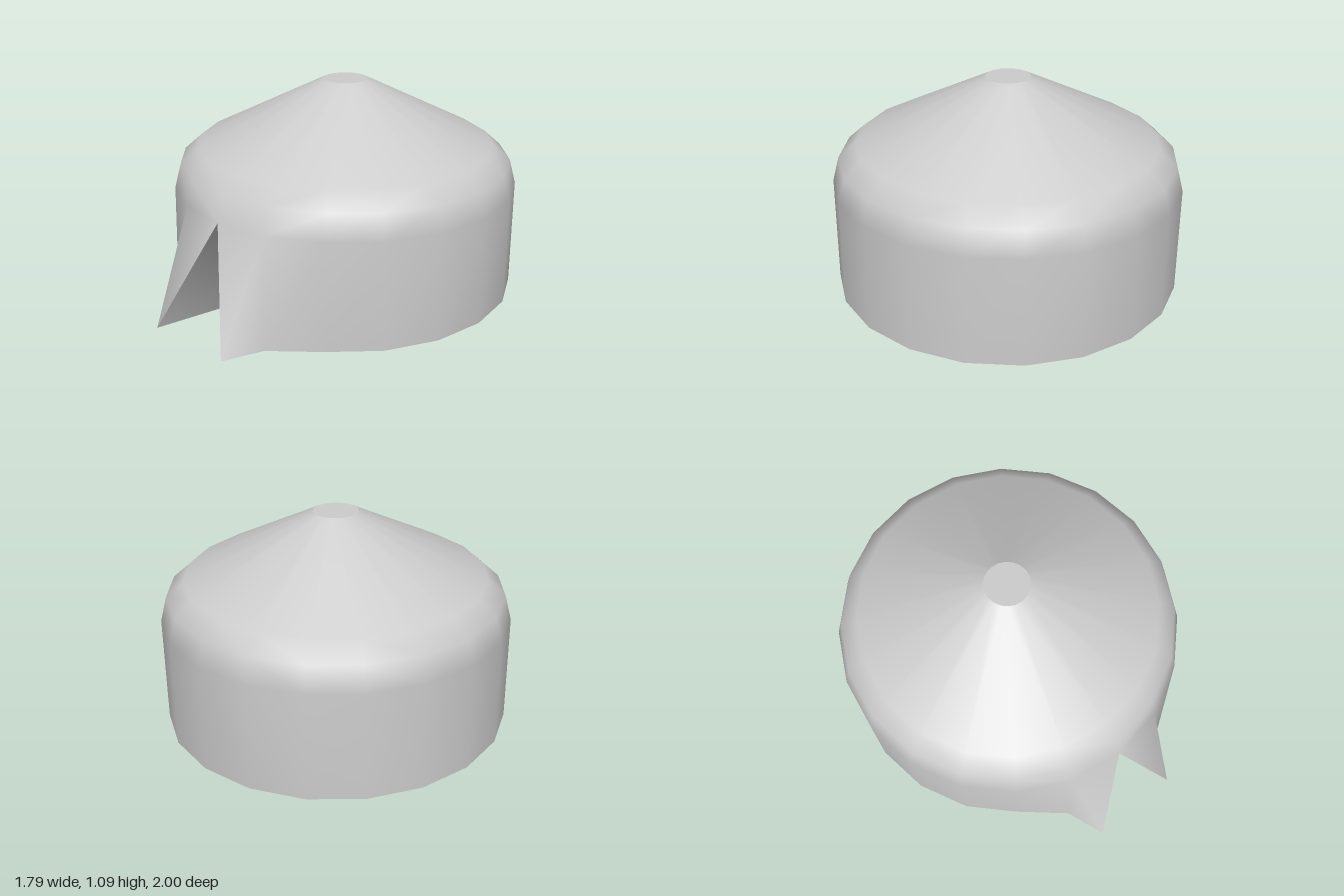
import * as THREE from 'three';
import { mergeVertices } from 'three/addons/utils/BufferGeometryUtils.js';

const SIDES = 20;
const CENTRE_Z = -0.107;
// radius, height of each ring from the ground to the crown
const PROFILE = [[0.893, 0], [0.893, 0.555], [0.86, 0.68], [0.77, 0.76], [0.115, 1.09]];

// Point on a ring; column 0 is the front seam, running round towards +x
function ringPoint(i, j) {
  if (j === 0) {
    // Door flaps: the seam is parted and pulled forward at the ground
    const side = i < SIDES / 2 ? 1 : -1;
    if (i === 0 || i === SIDES) return [side * 0.235, 0, 1];
    if (i === 1 || i === SIDES - 1) return [side * 0.31, 0, 0.8];
  }
  const [r, y] = PROFILE[j];
  const a = (i / SIDES) * Math.PI * 2;
  return [r * Math.sin(a), y, CENTRE_Z + r * Math.cos(a)];
}

// Smooth surface from a list of triangles
function surface(triangles) {
  const geometry = new THREE.BufferGeometry();
  geometry.setAttribute('position', new THREE.Float32BufferAttribute(triangles.flat(2), 3));
  const merged = mergeVertices(geometry, 1e-4);
  merged.computeVertexNormals();
  return merged;
}

export function createModel() {
  const group = new THREE.Group();
  const material = new THREE.MeshStandardMaterial({ color: 0xcccccc, side: THREE.DoubleSide });
  const add = (name, triangles) => {
    const mesh = new THREE.Mesh(surface(triangles), material);
    mesh.name = name;
    group.add(mesh);
  };

  const canvas = [], floor = [], crown = [];
  const top = PROFILE.length - 1;
  const floorCentre = [0, 0, CENTRE_Z];
  const crownCentre = [0, PROFILE[top][1], CENTRE_Z];

  for (let i = 0; i < SIDES; i++) {
    // Wall, rounded shoulder and roof, with diagonals mirrored left to right
    for (let j = 0; j < top; j++) {
      const a = ringPoint(i, j), b = ringPoint(i + 1, j);
      const c = ringPoint(i + 1, j + 1), d = ringPoint(i, j + 1);
      if (i < SIDES / 2) canvas.push([a, b, c], [a, c, d]);
      else canvas.push([a, b, d], [b, c, d]);
    }
    floor.push([floorCentre, ringPoint(i + 1, 0), ringPoint(i, 0)]);
    crown.push([crownCentre, ringPoint(i, top), ringPoint(i + 1, top)]);
  }
  add('canvasWallAndRoof', canvas);
  add('floor', floor);
  add('crownCap', crown);

  // Wedge-shaped entrance running back to the middle of the floor
  const apex = ringPoint(0, 1);
  add('entranceRecess', [
    [floorCentre, ringPoint(0, 0), apex],
    [floorCentre, apex, ringPoint(SIDES, 0)],
  ]);
  return group;
}
